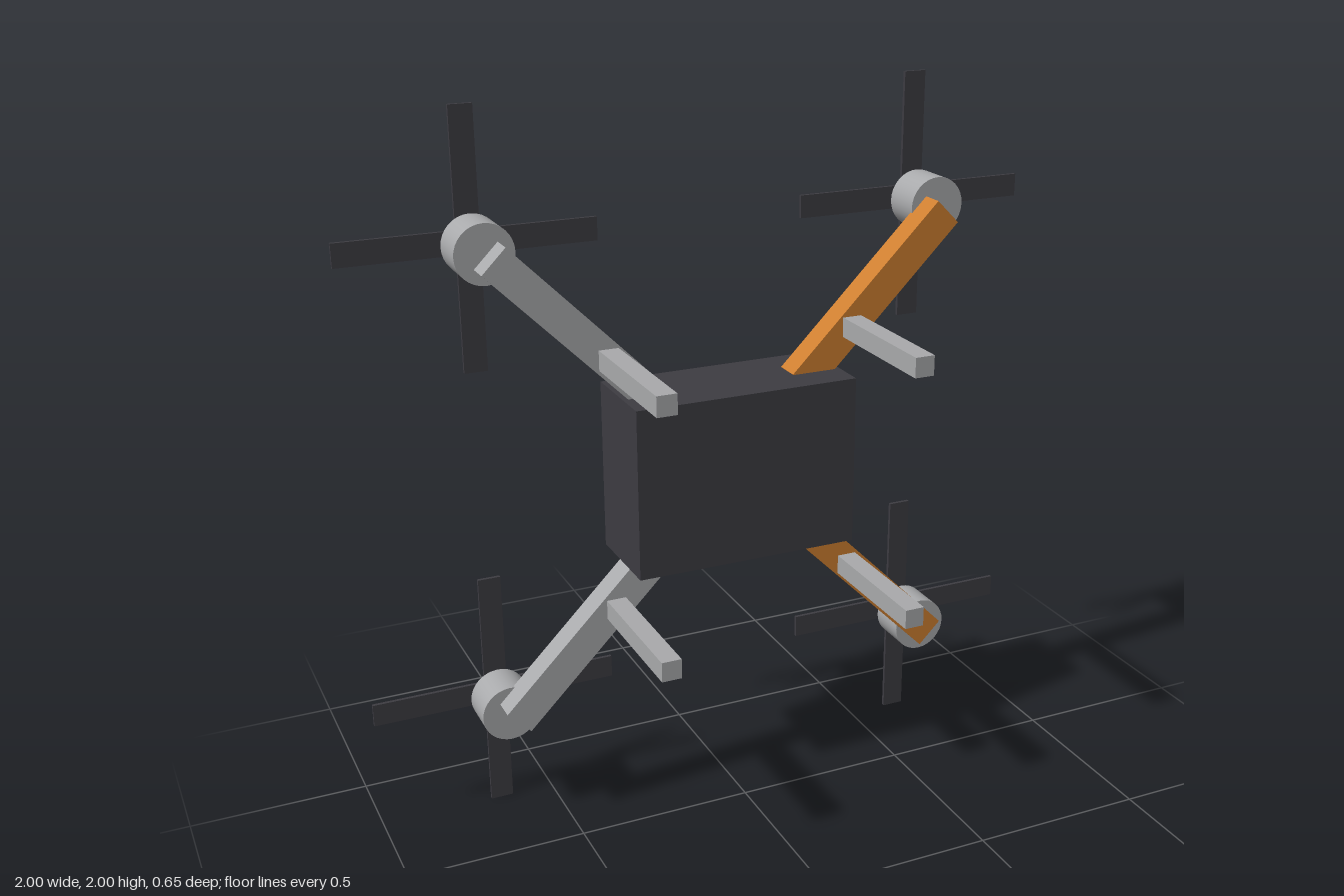
import * as THREE from 'three';

export function createModel() {
  const charcoal = new THREE.MeshStandardMaterial({ name: 'charcoal', color: 0x3d3c42 });
  const silver = new THREE.MeshStandardMaterial({ name: 'silver', color: 0xa9aaac });
  const orange = new THREE.MeshStandardMaterial({ name: 'orange', color: 0xcf7f30 });

  const drone = new THREE.Group();
  drone.name = 'quadcopter';

  const add = (parent, name, geometry, material, x, y, z) => {
    const mesh = new THREE.Mesh(geometry, material);
    mesh.name = name;
    mesh.position.set(x, y, z);
    parent.add(mesh);
    return mesh;
  };

  // Central body and the battery pack on its back
  add(drone, 'body', new THREE.BoxGeometry(0.64, 0.48, 0.265), charcoal, 0, 1, -0.107);
  add(drone, 'batteryPack', new THREE.BoxGeometry(0.38, 0.32, 0.085), charcoal, 0, 1, -0.2825);

  // Shared geometry of the four rotor units
  const armGeometry = new THREE.BoxGeometry(0.62, 0.092, 0.075);
  const motorGeometry = new THREE.CylinderGeometry(0.08, 0.08, 0.117, 32).rotateX(Math.PI / 2);
  const legGeometry = new THREE.BoxGeometry(0.055, 0.055, 0.4);
  const longBlade = new THREE.BoxGeometry(0.7, 0.064, 0.01);
  const halfBlade = new THREE.BoxGeometry(0.318, 0.064, 0.01);

  for (const sx of [1, -1]) {
    for (const sy of [1, -1]) {
      const unit = new THREE.Group();
      unit.name = (sy > 0 ? 'upper' : 'lower') + (sx > 0 ? 'Left' : 'Right') + 'Rotor';
      unit.position.y = 1;
      drone.add(unit);

      // Diagonal arm, motor at its tip and leg pointing forward
      const arm = add(unit, 'arm', armGeometry, sx > 0 ? orange : silver, sx * 0.428, sy * 0.428, -0.1075);
      arm.rotation.z = sx * sy * Math.PI / 4;
      add(unit, 'motor', motorGeometry, silver, sx * 0.65, sy * 0.65, -0.1945);
      add(unit, 'leg', legGeometry, silver, sx * 0.355, sy * 0.357, 0.125);

      // Crossed propeller: one full blade and two half blades
      const propeller = new THREE.Group();
      propeller.name = 'propeller';
      propeller.position.set(sx * 0.65, sy * 0.65, -0.285);
      unit.add(propeller);
      add(propeller, 'blade', longBlade, charcoal, 0, 0, 0);
      for (const s of [1, -1]) {
        add(propeller, 'crossBlade', halfBlade, charcoal, 0, s * 0.191, 0).rotation.z = Math.PI / 2;
      }
    }
  }
  return drone;
}
